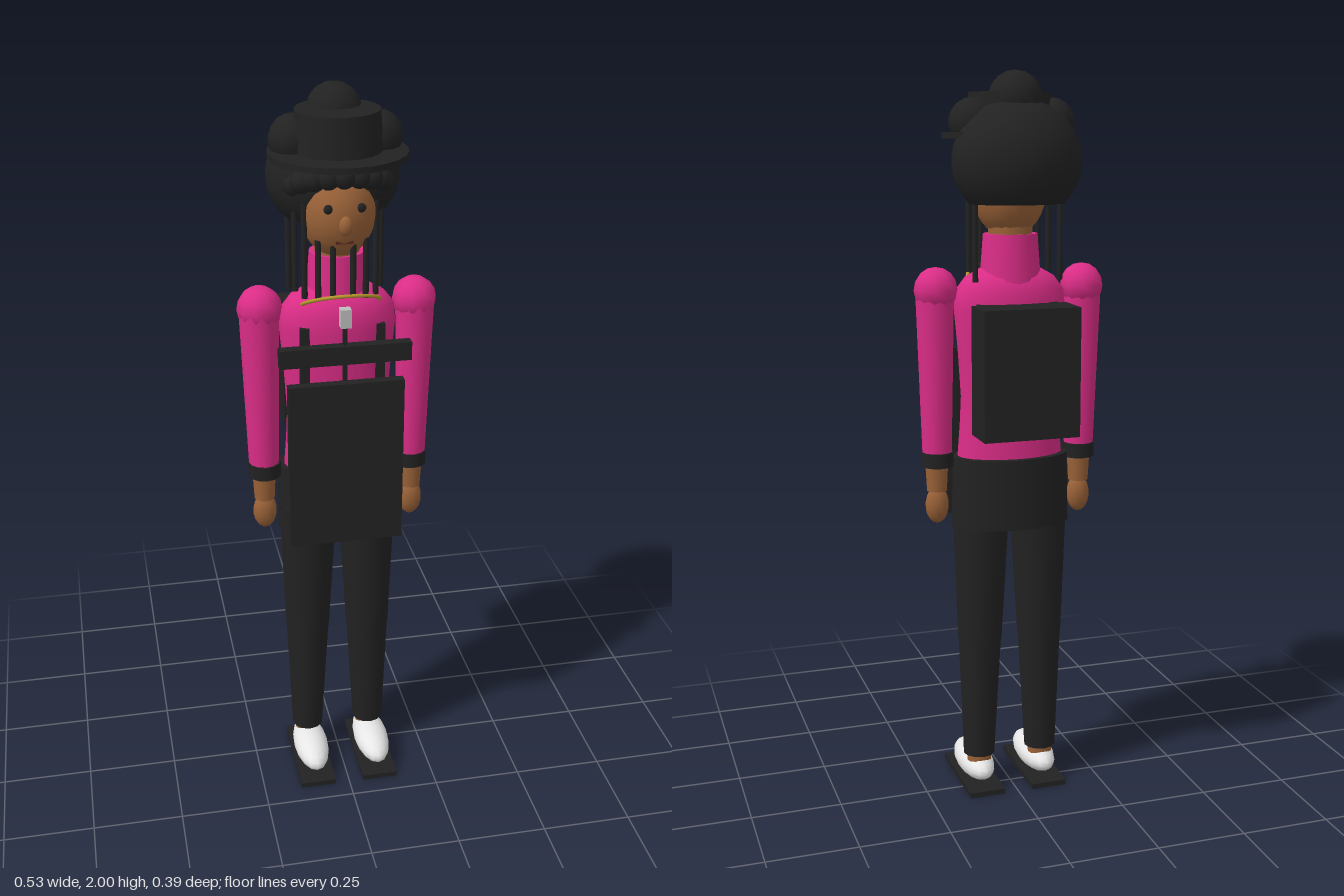
import * as THREE from 'three';

const mat = (name, color, side = THREE.FrontSide) => {
  const m = new THREE.MeshStandardMaterial({ color, side });
  m.name = name;
  return m;
};

export function createModel() {
  const model = new THREE.Group();
  model.name = 'figure';
  const black = mat('black', 0x222222);
  const pink = mat('pink', 0xdb2d87, THREE.DoubleSide);
  const skin = mat('skin', 0x9a6238);
  const white = mat('white', 0xe6e6e6);
  const gold = mat('gold', 0xb8962e);
  const silver = mat('silver', 0xbdbdbd);
  const lip = mat('lip', 0x5a2a22);

  const add = (name, geo, m, x, y, z) => {
    const mesh = new THREE.Mesh(geo, m);
    mesh.name = name;
    mesh.position.set(x, y, z);
    model.add(mesh);
    return mesh;
  };
  const ball = (name, m, x, y, z, rx, ry = rx, rz = rx, seg = 12) => {
    const mesh = add(name, new THREE.SphereGeometry(1, seg, Math.max(8, seg * 0.75)), m, x, y, z);
    mesh.scale.set(rx, ry, rz);
    return mesh;
  };
  const box = (name, m, x0, x1, y0, y1, z0, z1) =>
    add(name, new THREE.BoxGeometry(x1 - x0, y1 - y0, z1 - z0), m, (x0 + x1) / 2, (y0 + y1) / 2, (z0 + z1) / 2);
  // Tapered limb from a lower to an upper point
  const limb = (name, m, a, b, ra, rb, seg = 12) => {
    const p = new THREE.Vector3(...a), q = new THREE.Vector3(...b);
    const d = q.clone().sub(p), c = p.clone().add(q).multiplyScalar(0.5);
    const mesh = add(name, new THREE.CylinderGeometry(rb, ra, d.length(), seg), m, c.x, c.y, c.z);
    mesh.quaternion.setFromUnitVectors(new THREE.Vector3(0, 1, 0), d.normalize());
    return mesh;
  };

  // Legs, feet and arms, mirrored
  for (const s of [-1, 1]) {
    const fx = s * 0.092;
    box('sole', black, fx - 0.051, fx + 0.051, 0, 0.015, -0.08, 0.195);
    ball('shoe', white, fx, 0.055, 0.06, 0.05, 0.042, 0.122, 16);
    limb('ankle', skin, [fx, 0.05, 0.008], [fx, 0.115, 0.008], 0.035, 0.035);
    limb('lowerLeg', black, [fx, 0.1, 0.008], [s * 0.088, 0.46, 0.008], 0.045, 0.062);
    limb('upperLeg', black, [s * 0.088, 0.45, 0.008], [s * 0.083, 0.86, 0.008], 0.063, 0.082);

    ball('shoulder', pink, s * 0.206, 1.436, 0.005, 0.06, 0.06, 0.06, 10);
    limb('sleeve', pink, [s * 0.205, 0.985, 0.013], [s * 0.208, 1.43, 0.008], 0.041, 0.053);
    limb('cuff', black, [s * 0.204, 0.955, 0.013], [s * 0.204, 0.995, 0.013], 0.045, 0.045);
    limb('wrist', skin, [s * 0.206, 0.885, 0.015], [s * 0.206, 0.96, 0.015], 0.028, 0.032);
    ball('hand', skin, s * 0.206, 0.845, 0.015, 0.033, 0.052, 0.027);
  }

  // Trousers top
  const hips = add('hips', new THREE.CylinderGeometry(0.163, 0.167, 0.195, 20), black, 0, 0.882, 0.002);
  hips.scale.z = 0.63;

  // Jacket body and high collar
  const profile = [[0.15, 0.96], [0.142, 1.06], [0.138, 1.14], [0.146, 1.27], [0.156, 1.38], [0.152, 1.43], [0.125, 1.465], [0.08, 1.49], [0.0, 1.495]];
  const torso = add('jacket', new THREE.LatheGeometry(profile.map(p => new THREE.Vector2(...p)), 20), pink, 0, 0, 0.006);
  torso.scale.z = 0.6;
  const collar = add('collar', new THREE.CylinderGeometry(0.074, 0.084, 0.13, 16), pink, 0, 1.515, 0.0);
  collar.scale.z = 0.9;

  // Apron, chest band, zip and tag
  box('apron', black, -0.154, 0.154, 0.79, 1.26, 0.11, 0.137);
  box('chestBand', black, -0.174, 0.174, 1.31, 1.36, 0.097, 0.126);
  box('zip', black, -0.005, 0.005, 1.25, 1.42, 0.1, 0.114);
  box('tag', silver, -0.014, 0.014, 1.41, 1.46, 0.1, 0.125);

  // Backpack
  box('backpack', black, -0.132, 0.132, 1.055, 1.4, -0.193, -0.078);
  for (const s of [-1, 1]) box('backpackStrap', black, s * 0.1 - 0.012, s * 0.1 + 0.012, 1.12, 1.4, -0.08, 0.085);

  // Neck chain, raised at the front
  const chain = add('chain', new THREE.TorusGeometry(0.103, 0.005, 6, 28), gold, 0, 1.452, 0.045);
  chain.rotation.x = Math.PI / 2 - 0.5;

  // Head and face
  limb('neck', skin, [0, 1.54, 0], [0, 1.64, 0], 0.06, 0.06);
  ball('head', skin, 0, 1.69, 0.01, 0.098, 0.122, 0.105, 20);
  ball('nose', skin, 0, 1.678, 0.117, 0.018, 0.025, 0.016);
  box('mouth', lip, -0.022, 0.022, 1.626, 1.634, 0.09, 0.1);
  for (const s of [-1, 1]) ball('eye', black, s * 0.042, 1.718, 0.102, 0.012, 0.012, 0.008);

  // Large rounded hair, cut flat underneath
  const cut = Math.acos(-0.68);
  const hair = add('hair', new THREE.SphereGeometry(1, 20, 14, 0, Math.PI * 2, 0, cut), black, 0, 1.77, -0.057);
  hair.scale.set(0.174, 0.16, 0.137);
  const under = add('hairUnderside', new THREE.CircleGeometry(Math.sin(cut), 20), black, 0, 1.661, -0.057);
  under.rotation.x = Math.PI / 2;
  under.scale.set(0.174, 0.137, 1);

  // Fringe curls
  for (let i = -4; i <= 4; i++) {
    const a = i * 0.34;
    ball('curl', black, Math.sin(a) * 0.115, 1.795 - 0.002 * i * i, 0.005 + Math.cos(a) * 0.088, 0.03, 0.03, 0.03, 10);
  }

  // Hanging braids: x, z, bottom, top
  const braids = [[0.117, -0.065, 1.46, 1.72], [0.112, 0.012, 1.48, 1.74], [0.093, 0.045, 1.47, 1.72], [0.062, 0.068, 1.47, 1.63], [0.026, 0.082, 1.48, 1.62]];
  for (const s of [-1, 1])
    for (const [x, z, y0, y1] of braids) limb('braid', black, [s * x, y0, z], [s * x, y1, z], 0.008, 0.008, 8);

  // Hat and hair buns
  add('hatBrim', new THREE.CylinderGeometry(0.178, 0.178, 0.016, 24), black, 0, 1.835, 0.012);
  add('hatCrown', new THREE.CylinderGeometry(0.108, 0.116, 0.13, 20), black, 0, 1.88, 0.008);
  ball('topBun', black, 0, 1.927, -0.042, 0.073);
  for (const s of [-1, 1]) ball('sideBun', black, s * 0.108, 1.868, -0.015, 0.064);

  return model;
}
